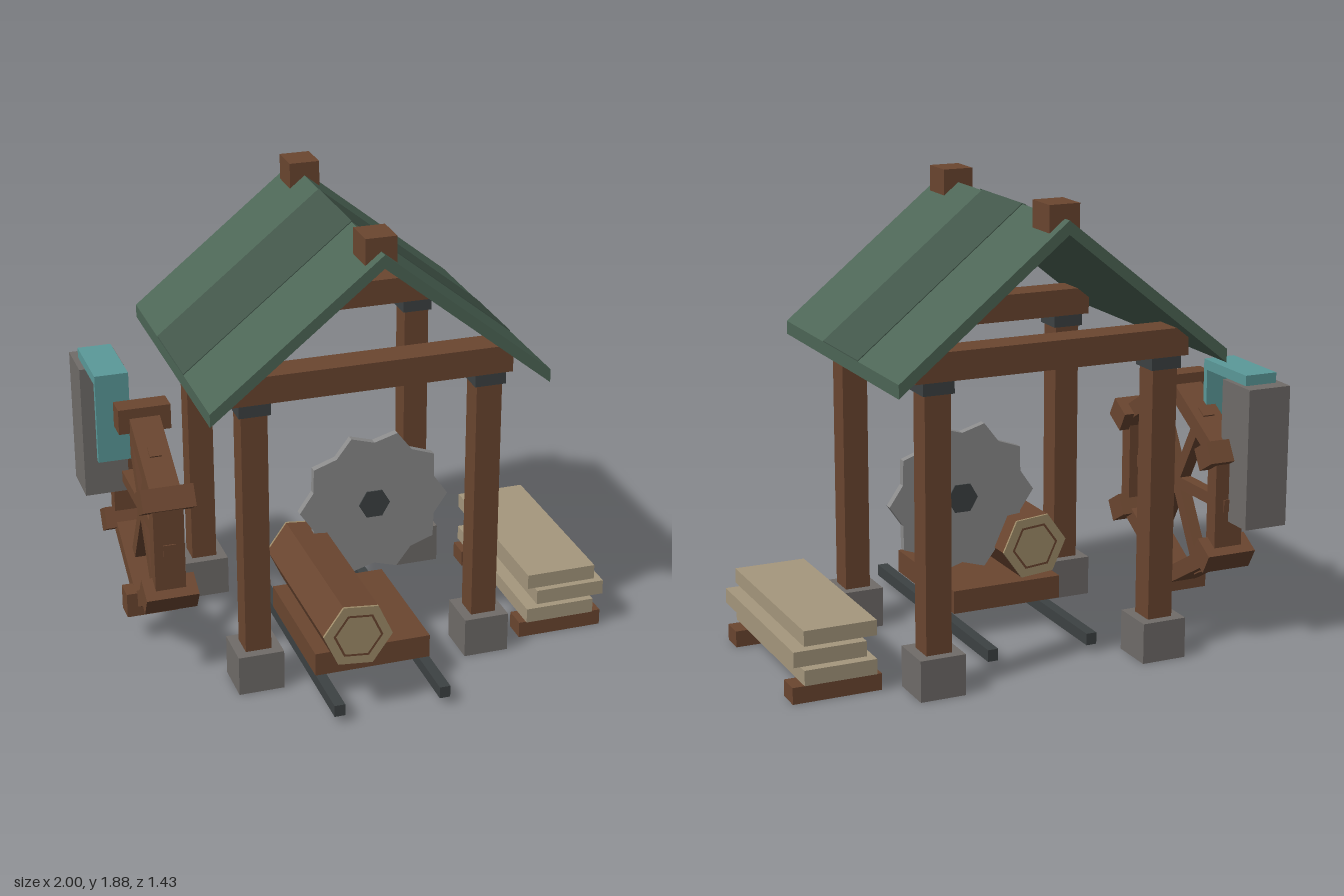
import * as THREE from 'three';

const mat = (color) => new THREE.MeshStandardMaterial({ color, flatShading: true });

export function createModel() {
  const model = new THREE.Group();
  const wood = mat(0x6b4630), stone = mat(0x706c69), iron = mat(0x3d4243);
  const plank = mat(0xa5977d), cutWood = mat(0xa08d6a), steel = mat(0x8c8c8c);
  const green = mat(0x4d6656), darkGreen = mat(0x42564a), teal = mat(0x5b9a9a);

  const add = (name, geometry, material, parent = model) => {
    const m = new THREE.Mesh(geometry, material);
    m.name = name;
    parent.add(m);
    return m;
  };
  // Box given by its min and max on each axis
  const box = (name, material, x0, x1, y0, y1, z0, z1) => {
    const m = add(name, new THREE.BoxGeometry(x1 - x0, y1 - y0, z1 - z0), material);
    m.position.set((x0 + x1) / 2, (y0 + y1) / 2, (z0 + z1) / 2);
    return m;
  };
  // Profile in the xy plane, extruded from z0 to z1
  const extrude = (name, material, points, z0, z1) => {
    const shape = new THREE.Shape(points.map(([x, y]) => new THREE.Vector2(x, y)));
    const g = new THREE.ExtrudeGeometry(shape, { depth: z1 - z0, bevelEnabled: false });
    return add(name, g.translate(0, 0, z0), material);
  };
  // Six-sided bar along z, with one corner at the given angle
  const hexBar = (name, material, r, length, angle, x, y, z) => {
    const g = new THREE.CylinderGeometry(r, r, length, 6, 1, false, Math.PI / 6 + angle);
    add(name, g.rotateX(Math.PI / 2), material).position.set(x, y, z);
  };

  // Frame: stone footings, posts, iron caps and cross beams
  for (const z of [0.295, -0.543]) {
    for (const x of [-0.504, 0.457]) {
      box('footing', stone, x - 0.094, x + 0.094, 0, 0.167, z - 0.094, z + 0.094);
      box('post', wood, x - 0.053, x + 0.053, 0.167, 1.19, z - 0.053, z + 0.053);
      box('postCap', iron, x - 0.064, x + 0.064, 1.19, 1.238, z - 0.064, z + 0.064);
    }
    box('crossBeam', wood, -0.6, 0.55, 1.238, 1.35, z - 0.064, z + 0.064);
  }

  // Gable roof with plumb-cut eaves and a darker band across each slope
  const ridge = -0.023, half = 0.685, top = 1.825, eave = 1.275, thick = 0.054;
  extrude('roof', green, [
    [ridge - half, eave - thick], [ridge, top - thick], [ridge + half, eave - thick],
    [ridge + half, eave], [ridge, top], [ridge - half, eave],
  ], -0.715, 0.468);
  for (const [side, z0, z1] of [[1, -0.315, 0.05], [-1, -0.34, 0.075]]) {
    const e = ridge + side * half;
    extrude('roofBand', darkGreen,
      [[ridge, top], [e, eave], [e, eave + 0.004], [ridge, top + 0.004]], z0, z1);
  }
  for (const z of [0.355, -0.603])
    box('ridgeBlock', wood, -0.086, 0.04, 1.77, 1.88, z - 0.071, z + 0.071);

  // Saw blade with ten teeth and a hex hub
  const teeth = [];
  for (let i = 0; i < 20; i++) {
    const r = i % 2 ? 0.275 : 0.32, a = (i * Math.PI) / 10;
    teeth.push([0.09 + r * Math.cos(a), 0.577 + r * Math.sin(a)]);
  }
  extrude('sawBlade', steel, teeth, 0, 0.032);
  hexBar('sawHub', iron, 0.067, 0.042, 0, 0.09, 0.577, 0.016);

  // Rails and sled
  for (const x of [-0.283, 0.154])
    box('rail', iron, x - 0.022, x + 0.022, 0.033, 0.082, -0.435, 0.715);
  box('sled', wood, -0.32, 0.16, 0.11, 0.207, -0.07, 0.518);

  // Hexagonal log with pale cut ends and a growth ring on each
  const lx = -0.196, ly = 0.359, tilt = -0.094;
  hexBar('log', wood, 0.142, 0.75, tilt, lx, ly, 0.295);
  const ringMat = wood.clone();
  ringMat.side = THREE.DoubleSide;
  for (const s of [1, -1]) {
    hexBar('logEnd', cutWood, 0.142, 0.01, tilt, lx, ly, 0.295 + s * 0.38);
    add('growthRing', new THREE.RingGeometry(0.092, 0.102, 6, 1, tilt), ringMat)
      .position.set(lx, ly, 0.295 + s * 0.387);
  }

  // Stacked lumber on two bearers
  for (const z of [0.265, -0.403])
    box('bearer', wood, 0.635, 1, 0, 0.068, z - 0.049, z + 0.049);
  [[0.66, 0.075], [0.703, 0.155], [0.66, 0.234]].forEach(([x, y]) =>
    box('plank', plank, x, x + 0.297, y, y + 0.062, -0.47, 0.333));

  // Water wheel: six rim beams, six paddle blocks, three full-width spokes
  const wheel = new THREE.Group();
  wheel.name = 'waterWheel';
  wheel.position.set(-0.817, 0.593, -0.193);
  model.add(wheel);
  const wheelPart = (name, w, tangential, radial, r, a) => {
    const m = add(name, new THREE.BoxGeometry(w, tangential, radial), wood, wheel);
    m.position.set(0, r * Math.sin(a), r * Math.cos(a));
    m.rotation.x = -a;
  };
  for (let i = 0; i < 6; i++) {
    const a = (i * Math.PI) / 3;
    wheelPart('rimBeam', 0.124, 0.415, 0.066, 0.359, a);
    wheelPart('paddle', 0.214, 0.092, 0.105, 0.415, a + Math.PI / 6);
    if (i < 3) wheelPart('spoke', 0.05, 0.05, 0.796, 0, a);
  }

  // Sluice pillar with water running over and falling on the wheel
  box('sluicePillar', stone, -1, -0.815, 0.525, 1.098, -0.718, -0.515);
  box('waterChannel', teal, -0.976, -0.837, 1.098, 1.14, -0.652, -0.33);
  box('waterFall', teal, -0.976, -0.837, 0.758, 1.098, -0.355, -0.33);

  return model;
}
